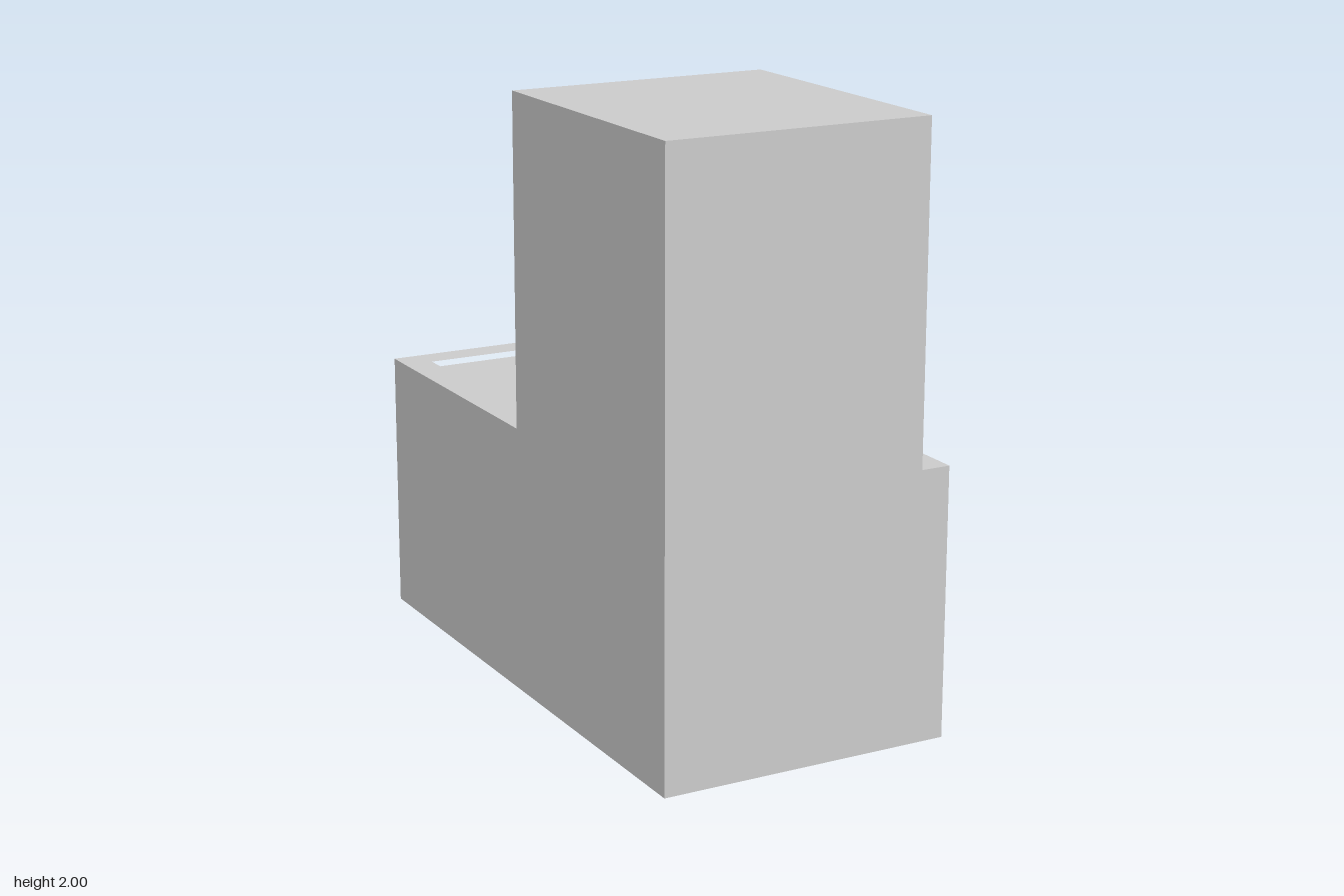
import * as THREE from 'three';

const material = new THREE.MeshStandardMaterial({ color: 0xcccccc, flatShading: true });

// Box given by its minimum and maximum corners
function box(name, [x0, y0, z0], [x1, y1, z1]) {
  const geometry = new THREE.BoxGeometry(x1 - x0, y1 - y0, z1 - z0);
  geometry.translate((x0 + x1) / 2, (y0 + y1) / 2, (z0 + z1) / 2);
  return named(name, geometry);
}

function named(name, geometry) {
  const mesh = new THREE.Mesh(geometry, material);
  mesh.name = name;
  return mesh;
}

const outline = (points) => points.map(([x, y]) => new THREE.Vector2(x, y));

function extrude(points, depth, hole) {
  const shape = new THREE.Shape(outline(points));
  if (hole) shape.holes.push(new THREE.Path(outline(hole)));
  return new THREE.ExtrudeGeometry(shape, { depth, bevelEnabled: false });
}

// Profile drawn as (z, y), extruded along +x from x0
function extrudeX(name, points, x0, depth) {
  const geometry = extrude(points.map(([z, y]) => [-z, y]), depth);
  return named(name, geometry.rotateY(Math.PI / 2).translate(x0, 0, 0));
}

// Profile drawn as (x, z), extruded upwards from y0
function extrudeY(name, points, hole, y0, depth) {
  const flip = (list) => list.map(([x, z]) => [x, -z]);
  const geometry = extrude(flip(points), depth, flip(hole));
  return named(name, geometry.rotateX(-Math.PI / 2).translate(0, y0, 0));
}

export function createModel() {
  const model = new THREE.Group();
  model.name = 'steppedCabinet';

  // Long base with a shallow tray sunk into the rear half of its top
  model.add(box('base', [-0.5, 0, -1], [0.5, 0.85, 1]));
  model.add(extrudeY('trayRim',
    [[-0.5, -1], [0.5, -1], [0.5, 1], [-0.5, 1]],
    [[-0.4, -0.9], [0.4, -0.9], [0.4, 0], [-0.4, 0]], 0.85, 0.05));

  // Tower with a recessed panel framed on its side
  model.add(box('tower', [-0.5, 0.9, 0], [0.35, 2, 1]));
  model.add(extrudeX('panelFrame', [
    [1, 0.9], [0.9, 0.9], [0.9, 1.9], [0.1, 1.9],
    [0.1, 0.9], [0, 0.9], [0, 2], [1, 2],
  ], 0.35, 0.05));

  // Hollowed bracket: a low bar on the ledge carrying a short post
  const bracket = new THREE.Group();
  bracket.name = 'bracket';
  bracket.add(box('barBack', [0.4, 0.9, -0.23], [0.43, 1, 0.23]));
  bracket.add(extrudeX('barFrame', [
    [0.23, 0.9], [0.2, 0.9], [0.2, 0.97], [0.1, 0.97], [0.1, 0.9], [0, 0.9],
    [0, 0.97], [-0.2, 0.97], [-0.2, 0.9], [-0.23, 0.9], [-0.23, 1], [0.23, 1],
  ], 0.43, 0.07));
  bracket.add(box('postBack', [0.4, 1, 0], [0.5, 1.23, 0.03]));
  const hook = extrude([
    [0.47, 1], [0.5, 1], [0.5, 1.23], [0.4, 1.23], [0.4, 1.2], [0.47, 1.2],
  ], 0.07);
  bracket.add(named('postFrame', hook.translate(0, 0, 0.03)));
  model.add(bracket);

  return model;
}
